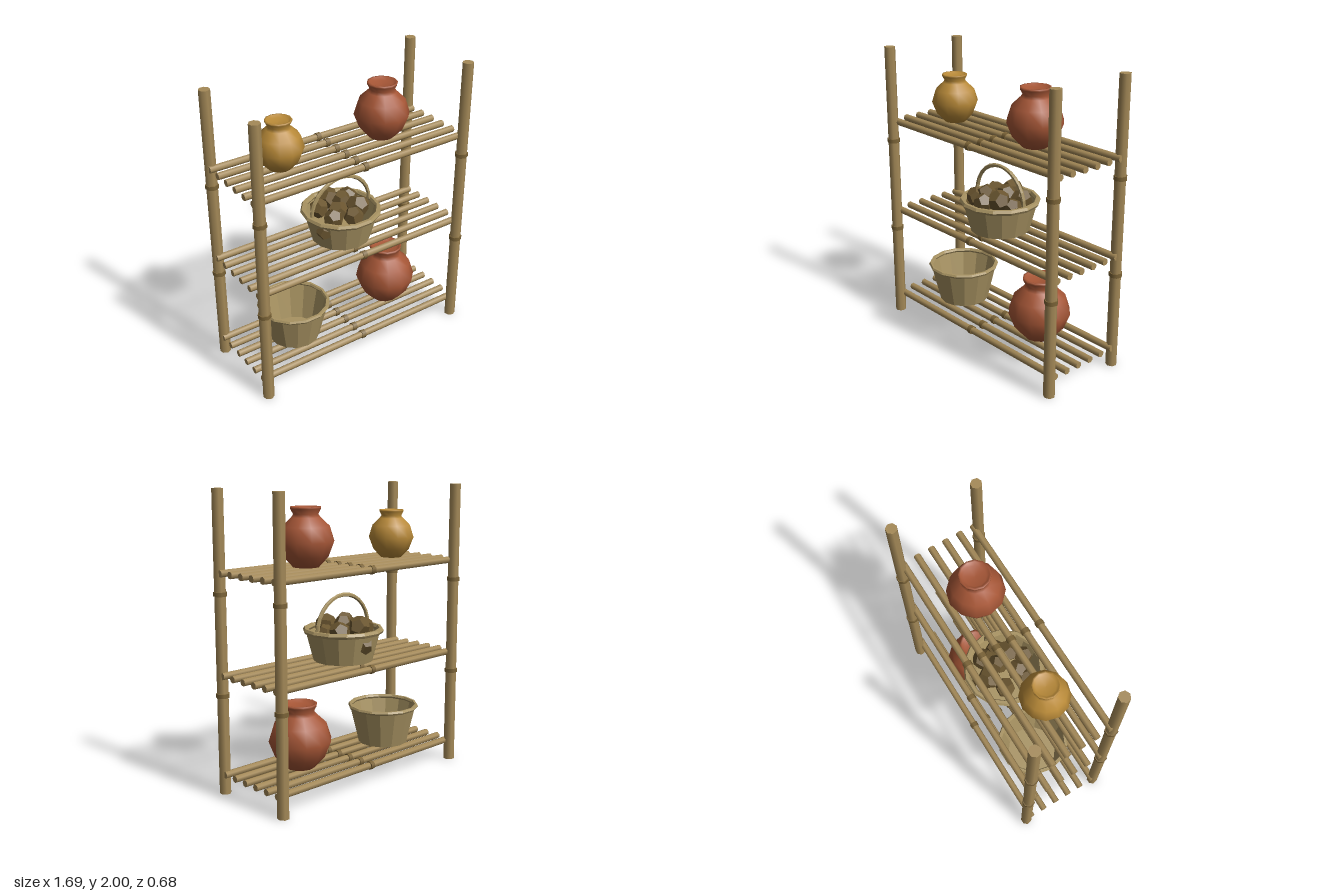
import * as THREE from 'three';

const mat = (name, color, opts = {}) => {
  const m = new THREE.MeshStandardMaterial({ color, ...opts });
  m.name = name;
  return m;
};

export function createModel() {
  const root = new THREE.Group();
  root.name = 'potteryShelf';
  const bamboo = mat('bamboo', 0xa58a58);
  const node = mat('darkBambooNode', 0x7d6538);
  const wicker = mat('wicker', 0xa89362, { side: THREE.DoubleSide, flatShading: true });
  const terracotta = mat('terracotta', 0xa65636);
  const ochre = mat('ochreClay', 0xb98a38);
  const tuber = mat('brownTuber', 0x6b5630, { flatShading: true });

  const add = (parent, name, geo, material, x = 0, y = 0, z = 0) => {
    const m = new THREE.Mesh(geo, material);
    m.name = name;
    m.position.set(x, y, z);
    parent.add(m);
    return m;
  };

  // Corner posts with two node rings each
  const postGeo = new THREE.CylinderGeometry(0.038, 0.039, 2, 7);
  const ringGeo = new THREE.CylinderGeometry(0.045, 0.045, 0.028, 7);
  for (const x of [-0.8, 0.8]) {
    for (const z of [-0.295, 0.295]) {
      add(root, 'post', postGeo, bamboo, x, 1, z);
      for (const y of [0.67, 1.335]) add(root, 'postNode', ringGeo, node, x, y, z);
    }
  }

  // Three shelves of six slats, each slat with a node in the middle
  const slatGeo = new THREE.CylinderGeometry(0.024, 0.024, 1.65, 7).rotateZ(Math.PI / 2);
  const slatNodeGeo = new THREE.CylinderGeometry(0.03, 0.03, 0.032, 7).rotateZ(Math.PI / 2);
  for (const y of [0.137, 0.805, 1.47]) {
    const shelf = new THREE.Group();
    shelf.name = 'shelf';
    root.add(shelf);
    for (let i = 0; i < 6; i++) {
      const z = -0.266 + i * 0.1064;
      add(shelf, 'slat', slatGeo, bamboo, 0, y, z);
      add(shelf, 'slatNode', slatNodeGeo, node, 0, y, z);
    }
  }

  // Round jars: one shape at three sizes
  const profile = [
    [0, 0], [0.085, 0], [0.15, 0.07], [0.187, 0.165], [0.157, 0.26], [0.096, 0.318],
    [0.082, 0.338], [0.101, 0.373], [0.101, 0.385], [0.088, 0.385], [0.07, 0.365], [0, 0.362],
  ].map(([r, y]) => new THREE.Vector2(r, y));
  const jarGeo = new THREE.LatheGeometry(profile, 12);
  const jar = (name, material, x, y, s) => add(root, name, jarGeo, material, x, y, 0).scale.setScalar(s);
  jar('smallOchreJar', ochre, -0.467, 1.494, 0.855);
  jar('upperTerracottaJar', terracotta, 0.332, 1.494, 1);
  jar('lowerTerracottaJar', terracotta, 0.398, 0.161, 1.135);

  // Open tapered basket with a rolled rim
  const basket = (name, x, y, rTop, rBottom, h, tube) => {
    const g = new THREE.Group();
    g.name = name;
    g.position.set(x, y, 0);
    root.add(g);
    add(g, 'basketWall', new THREE.CylinderGeometry(rTop, rBottom, h, 14, 1, true), wicker, 0, h / 2);
    add(g, 'basketFloor', new THREE.CircleGeometry(rBottom, 14, Math.PI / 2).rotateX(-Math.PI / 2), wicker, 0, 0.005);
    add(g, 'basketRim', new THREE.TorusGeometry(rTop, tube, 6, 14).rotateX(Math.PI / 2), wicker, 0, h);
    return g;
  };
  basket('emptyBasket', -0.4, 0.161, 0.238, 0.175, 0.265, 0.015);
  const full = basket('fullBasket', 0, 0.829, 0.257, 0.203, 0.208, 0.02);

  // Arched handle
  add(full, 'basketHandle', new THREE.TorusGeometry(0.237, 0.014, 6, 14, Math.PI), wicker, 0, 0.21);

  // Heap of tubers: x, y, z, radius
  const tuberGeo = new THREE.DodecahedronGeometry(1, 0);
  [
    [-0.19, 0.14, 0.09, 0.062], [0.0, 0.13, -0.195, 0.068], [-0.02, 0.24, -0.13, 0.08],
    [0.08, 0.24, 0.08, 0.08], [-0.07, 0.24, 0.06, 0.075], [0.12, 0.22, -0.09, 0.075],
    [-0.13, 0.22, -0.07, 0.07], [0.0, 0.22, 0.15, 0.07], [-0.13, 0.22, 0.1, 0.07],
    [0.15, 0.2, 0.02, 0.065], [0.03, 0.25, -0.03, 0.07],
  ].forEach(([x, y, z, r], i) => {
    const t = add(full, 'tuber', tuberGeo, tuber, x, y, z);
    t.scale.set(r, r * 0.95, r);
    t.rotation.set(i * 1.3, i * 2.1, i * 0.7);
  });

  return root;
}
